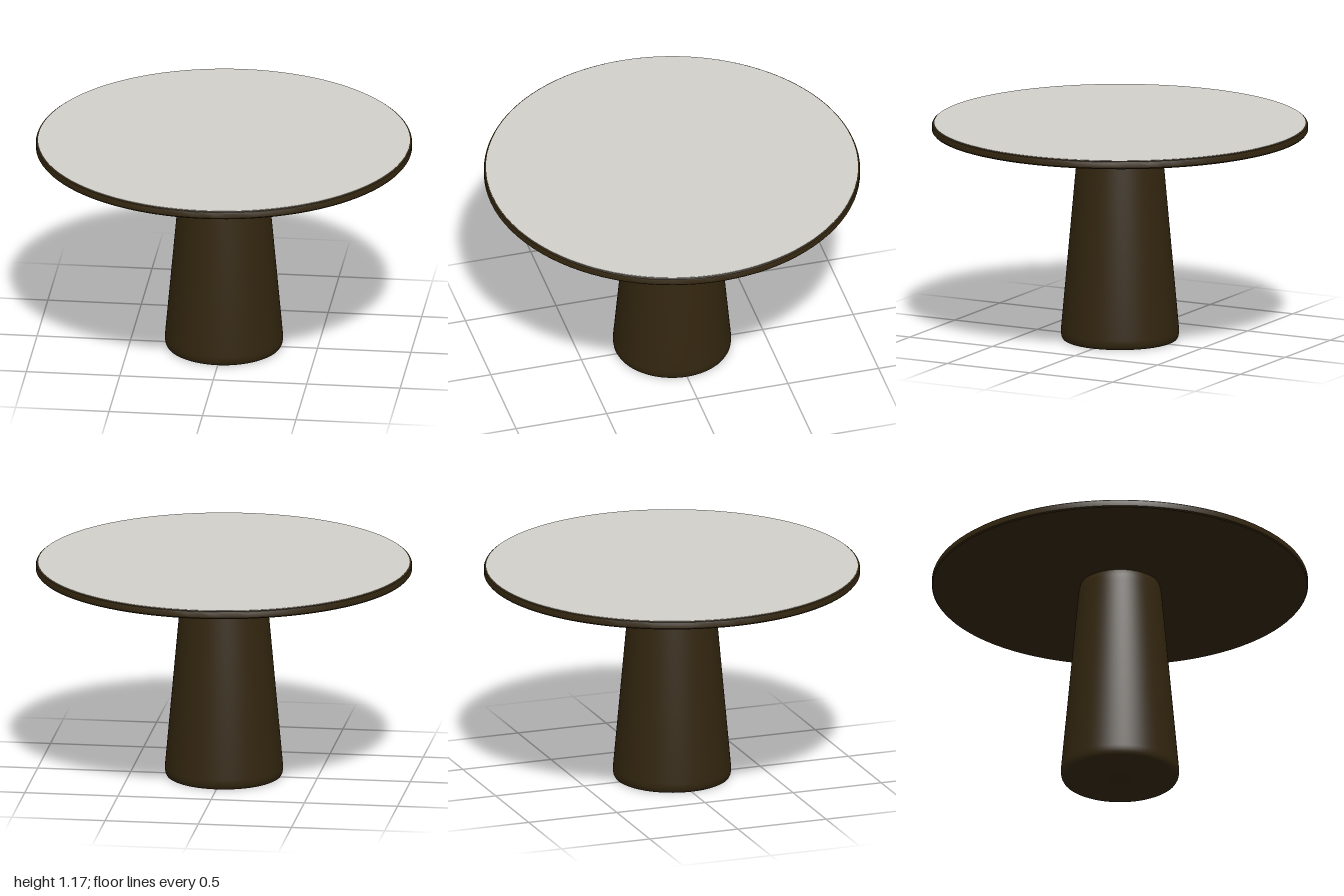
import * as THREE from 'three';
import { toCreasedNormals } from 'three/addons/utils/BufferGeometryUtils.js';

const SEGMENTS = 96;

const darkWood = new THREE.MeshStandardMaterial({ name: 'dark wood', color: 0x33260f });
const paleTop = new THREE.MeshStandardMaterial({ name: 'pale top', color: 0xd2d0ca });

// Turned part from [radius, height] points, listed from bottom to top
function turned(name, profile, material, crease) {
  const points = profile.map(([r, y]) => new THREE.Vector2(r, y));
  const geometry = toCreasedNormals(new THREE.LatheGeometry(points, SEGMENTS), crease);
  const mesh = new THREE.Mesh(geometry, material);
  mesh.name = name;
  return mesh;
}

export function createModel() {
  const table = new THREE.Group();
  table.name = 'pedestalTable';

  // Tapered pedestal with softened foot and neck
  table.add(turned('pedestal', [
    [0, 0], [0.295, 0], [0.304, 0.005], [0.311, 0.018], [0.314, 0.036], [0.314, 0.055],
    [0.222, 1.07], [0.218, 1.1], [0.213, 1.122], [0.205, 1.135],
  ], darkWood, 0.7));

  // Thin round board with small bevels
  table.add(turned('tabletopRim', [
    [0, 1.13], [0.994, 1.13], [1, 1.137], [1, 1.162], [0.997, 1.169], [0.99, 1.173], [0, 1.173],
  ], darkWood, 0.5));

  // Pale surface laid on the board
  table.add(turned('tabletopSurface', [
    [0.989, 1.172], [0.989, 1.175], [0, 1.175],
  ], paleTop, 0.5));

  return table;
}
